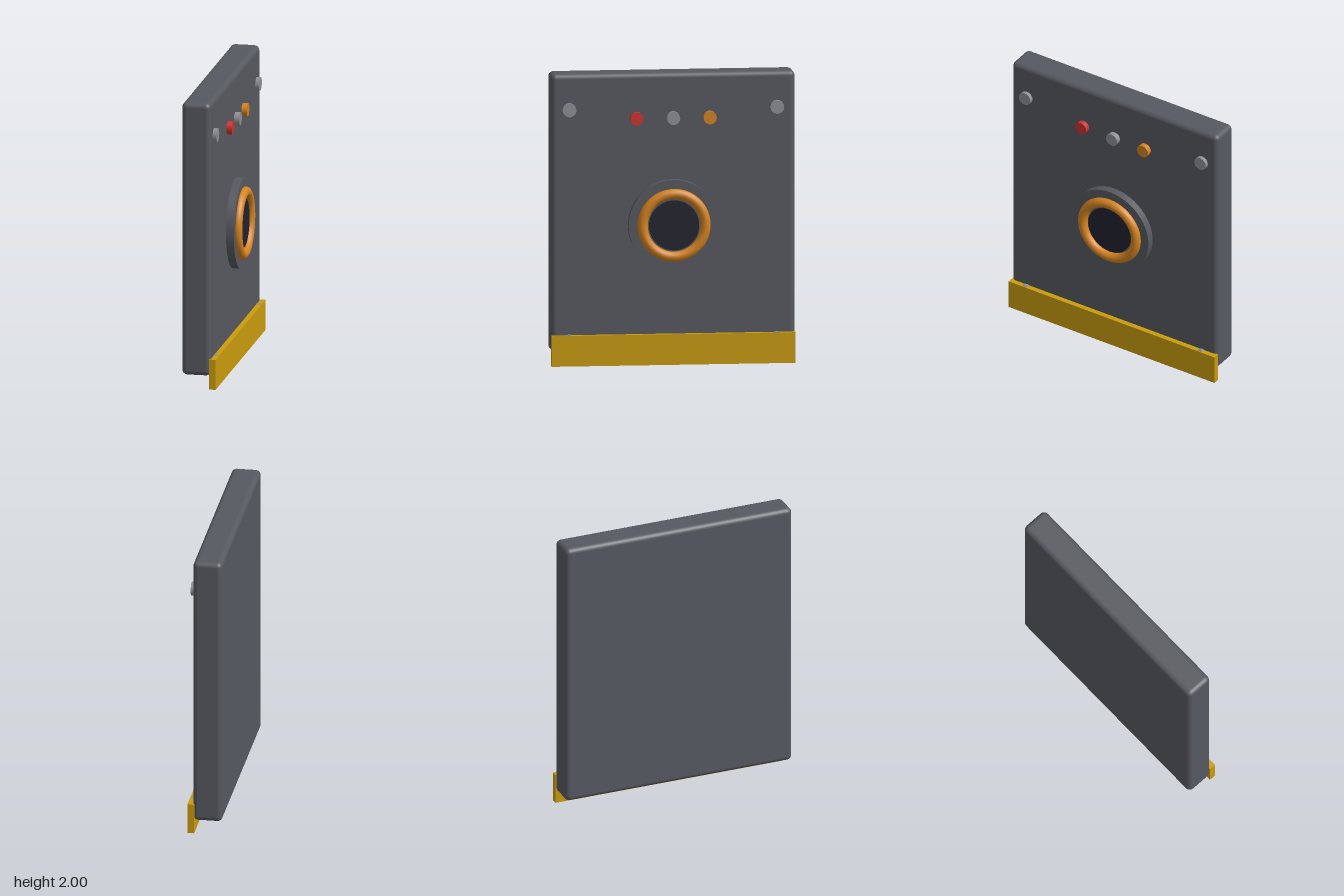
import * as THREE from 'three';
import { RoundedBoxGeometry } from 'three/addons/geometries/RoundedBoxGeometry.js';

const mat = (name, color) => {
  const m = new THREE.MeshStandardMaterial({ color });
  m.name = name;
  return m;
};

export function createModel() {
  const group = new THREE.Group();
  const slate = mat('slate grey', 0x565960);
  const yellow = mat('safety yellow', 0xc99b0c);
  const orange = mat('orange', 0xd48320);
  const steel = mat('steel grey', 0x8e9094);
  const red = mat('red', 0xcc3333);
  const dark = mat('dark glass', 0x22222e);

  const add = (name, geometry, material, x, y, z) => {
    const mesh = new THREE.Mesh(geometry, material);
    mesh.name = name;
    mesh.position.set(x, y, z);
    group.add(mesh);
    return mesh;
  };
  // disc standing out from the panel along +x, between x0 and x1
  const disc = (name, material, r, x0, x1, y, z, sides) =>
    add(name, new THREE.CylinderGeometry(r, r, x1 - x0, sides).rotateZ(-Math.PI / 2),
      material, (x0 + x1) / 2, y, z);

  // door slab and bottom guard bar
  add('panel', new RoundedBoxGeometry(0.2, 1.91, 1.667, 3, 0.035), slate, -0.047, 1.045, 0);
  add('guardBar', new THREE.BoxGeometry(0.047, 0.21, 1.667), yellow, 0.0665, 0.105, 0);

  // corner bolts, the lower pair mostly behind the bar
  for (const y of [1.755, 0.168])
    for (const z of [-0.71, 0.71]) disc('cornerBolt', steel, 0.047, 0.03, 0.08, y, z, 16);

  // row of indicator buttons
  [[red, 0.25], [steel, 0], [orange, -0.25]].forEach(([m, z]) =>
    disc('indicatorButton', m, 0.045, 0.03, 0.09, 1.69, z, 20));

  // round port: flange, raised ring, dark lens
  disc('portFlange', slate, 0.31, 0.03, 0.107, 0.96, 0, 48);
  add('portRing', new THREE.TorusGeometry(0.215, 0.035, 16, 48).rotateY(Math.PI / 2),
    orange, 0.112, 0.96, 0);
  disc('portLens', dark, 0.171, 0.09, 0.117, 0.96, 0, 40);

  return group;
}
